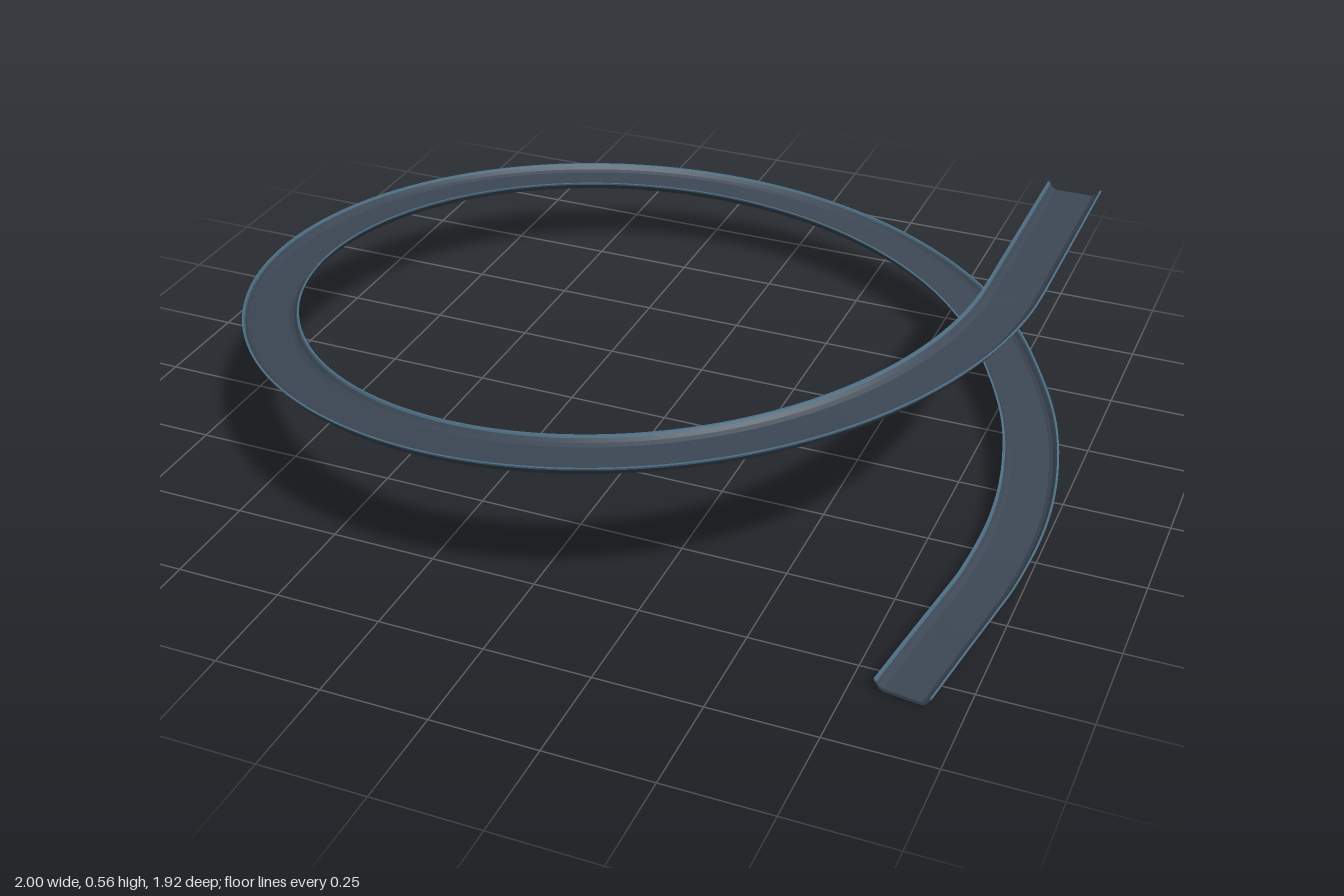
import * as THREE from 'three';

const CX = -0.04, R = 0.895, STEPS = 260;

// Centre line of the chute floor: level entry, one falling turn, level exit
function makePath() {
  const pts = [];
  for (let i = 0; i < 6; i++) pts.push(new THREE.Vector3(CX + R, 0.538, -0.51 + i * 0.094));
  for (let deg = 0; deg <= 330; deg += 7.5) {
    const a = THREE.MathUtils.degToRad(deg);
    pts.push(new THREE.Vector3(CX + R * Math.cos(a), 0.538 - 0.495 * deg / 360, R * Math.sin(a)));
  }
  // widening run-out
  [[0.857, 0.063, -0.205], [0.915, 0.041, 0], [0.935, 0.022, 0.18], [0.925, 0.004, 0.38],
    [0.911, 0, 0.48], [0.889, 0, 0.64], [0.865, 0, 0.82]]
    .forEach(p => pts.push(new THREE.Vector3(...p)));
  return new THREE.CatmullRomCurve3(pts, false, 'centripetal');
}

// Sweep a closed counter-clockwise profile (u sideways, v up), keeping its edges sharp
function sweep(path, profile) {
  const frames = [];
  const up = new THREE.Vector3(0, 1, 0);
  for (let k = 0; k <= STEPS; k++) {
    const t = path.getTangentAt(k / STEPS);
    frames.push({ p: path.getPointAt(k / STEPS), side: up.clone().cross(t).normalize() });
  }
  const pos = [], index = [];
  const put = (f, [u, v]) => {
    pos.push(f.p.x + f.side.x * u, f.p.y + v, f.p.z + f.side.z * u);
    return pos.length / 3 - 1;
  };
  profile.forEach((a, i) => {
    const b = profile[(i + 1) % profile.length];
    const base = pos.length / 3;
    frames.forEach(f => { put(f, a); put(f, b); });
    for (let k = 0; k < STEPS; k++) {
      const n = base + k * 2;
      index.push(n, n + 1, n + 3, n, n + 3, n + 2);
    }
  });
  // end caps
  const faces = THREE.ShapeUtils.triangulateShape(profile.map(q => new THREE.Vector2(...q)), []);
  [frames[0], frames[STEPS]].forEach((f, e) => {
    const base = pos.length / 3;
    profile.forEach(q => put(f, q));
    faces.forEach(([a, b, c]) => index.push(base + a, base + (e ? b : c), base + (e ? c : b)));
  });
  const g = new THREE.BufferGeometry();
  g.setAttribute('position', new THREE.Float32BufferAttribute(pos, 3));
  g.setIndex(index);
  g.computeVertexNormals();
  return g;
}

export function createModel() {
  const group = new THREE.Group();
  group.name = 'spiralChute';
  const slate = new THREE.MeshStandardMaterial({ color: 0x3d4855 });
  slate.name = 'dark slate';
  const steel = new THREE.MeshStandardMaterial({ color: 0x4f7085 });
  steel.name = 'steel blue';
  const path = makePath();

  const add = (name, profile, material) => {
    const mesh = new THREE.Mesh(sweep(path, profile), material);
    mesh.name = name;
    group.add(mesh);
  };

  // Trough with a flat floor and flared side walls
  const outer = [[0.042, 0], [0.052, 0.004], [0.064, 0.02]];
  const inner = [[0.06, 0.02], [0.053, 0.012], [0.044, 0.007]];
  const half = [...outer, ...inner];
  const mirrored = half.map(([u, v]) => [-u, v]).reverse();
  add('trough', [...half, ...mirrored], slate);

  // Rolled lip along each wall
  const lip = [[0.059, 0.02], [0.064, 0.02], [0.066, 0.025], [0.061, 0.025]];
  add('outerLip', lip, steel);
  add('innerLip', lip.map(([u, v]) => [-u, v]).reverse(), steel);

  return group;
}
